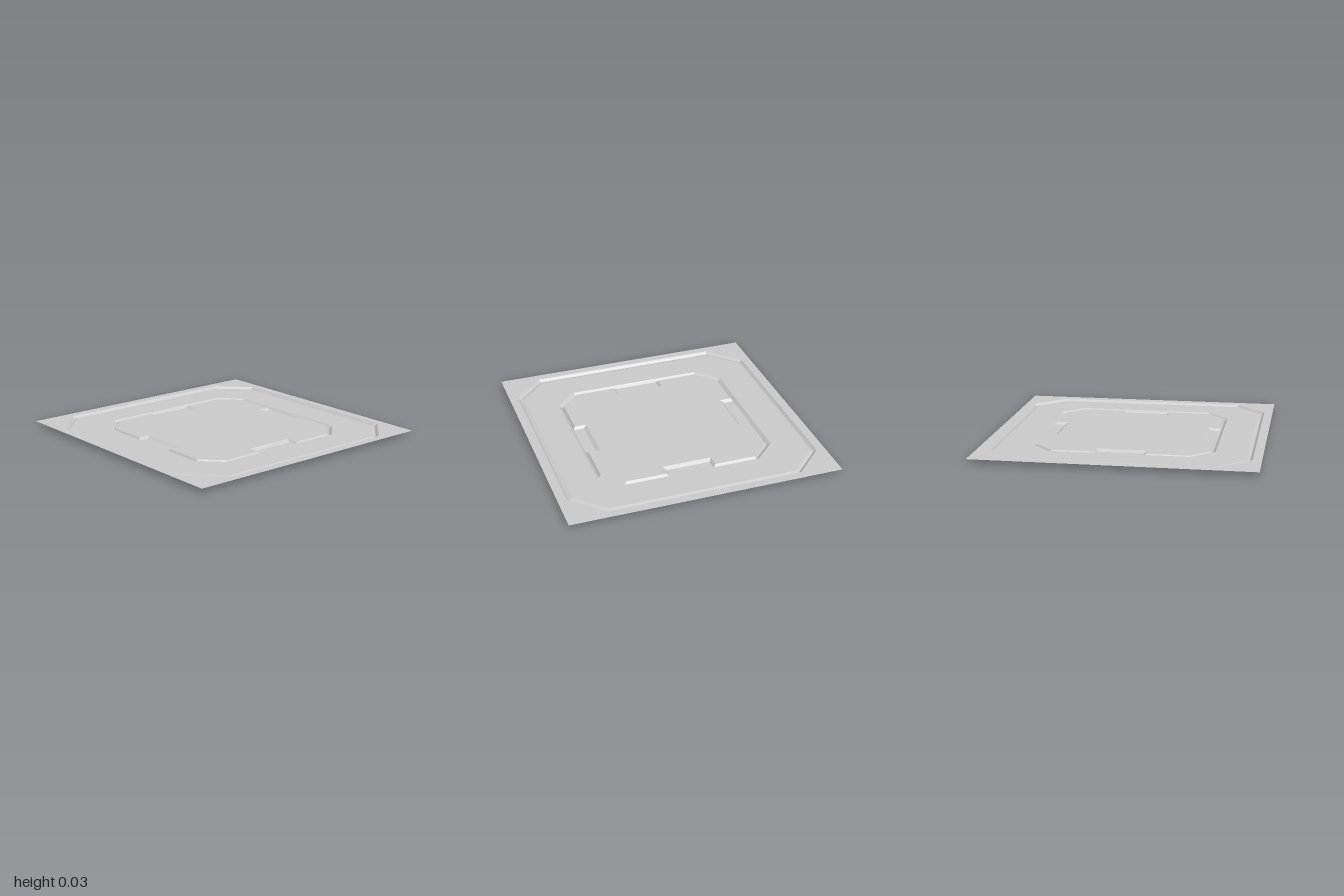
import * as THREE from 'three';

const material = new THREE.MeshStandardMaterial({ color: 0xcccccc, flatShading: true, side: THREE.DoubleSide });

// Repeats the outline of one side around all four sides, counter-clockwise.
function fourSides(side) {
  const points = [];
  let turned = side;
  for (let i = 0; i < 4; i++) {
    points.push(...turned);
    turned = turned.map(([x, s]) => [-s, x]);
  }
  return points;
}

const octagon = (r, c) => fourSides([[r, -c], [r, c]]);

// Octagon with a rectangular notch cut into each long side.
const notched = (r, c, half, depth) =>
  fourSides([[r, -c], [r, -half], [depth, -half], [depth, half], [r, half], [r, c]]);

export function createModel() {
  const group = new THREE.Group();

  function add(name, geometry) {
    const mesh = new THREE.Mesh(geometry, material);
    mesh.name = name;
    group.add(mesh);
  }

  // Level face with an optional opening.
  function face(name, outline, y, opening) {
    const vectors = (list) => list.map(([x, s]) => new THREE.Vector2(x, s));
    const shape = new THREE.Shape(vectors(outline));
    if (opening) shape.holes.push(new THREE.Path(vectors(opening)));
    add(name, new THREE.ShapeGeometry(shape).rotateX(-Math.PI / 2).translate(0, y, 0));
  }

  // Sloping band between two matching outlines.
  function band(name, outer, yOuter, inner, yInner) {
    const positions = [];
    outer.forEach((a, i) => {
      const j = (i + 1) % outer.length;
      const p = [a[0], yOuter, -a[1]];
      const q = [outer[j][0], yOuter, -outer[j][1]];
      const r = [inner[j][0], yInner, -inner[j][1]];
      const s = [inner[i][0], yInner, -inner[i][1]];
      positions.push(...p, ...q, ...r, ...p, ...r, ...s);
    });
    const geometry = new THREE.BufferGeometry();
    geometry.setAttribute('position', new THREE.Float32BufferAttribute(positions, 3));
    geometry.computeVertexNormals();
    add(name, geometry);
  }

  const topY = 0.029, grooveY = 0.011, middleY = 0.019, plateY = 0.018;

  // Square rim around the outer groove
  const rimEdge = octagon(0.935, 0.71);
  face('rim', fourSides([[1, -1], [1, 1]]), topY, rimEdge);

  // Outer groove: steep outside, shallow inside
  const outerFoot = octagon(0.915, 0.702);
  const middleEdge = octagon(0.89, 0.692);
  band('outerGrooveWall', rimEdge, topY, outerFoot, grooveY);
  band('outerGrooveRamp', outerFoot, grooveY, middleEdge, middleY);

  // Broad middle surface
  const middleInner = octagon(0.663, 0.505);
  face('middleSurface', middleEdge, middleY, middleInner);

  // Inner groove, with a wider floor at the four notches
  const foot = 0.64, footCorner = 0.494, notchHalf = 0.165, notchDepth = 0.562;
  band('innerGrooveWall', middleInner, middleY, octagon(foot, footCorner), 0);
  const plateEdge = notched(0.626, 0.488, 0.184, 0.537);
  band('plateWall', notched(foot, footCorner, notchHalf, notchDepth), 0, plateEdge, plateY);
  for (let i = 0; i < 4; i++) {
    const floor = new THREE.PlaneGeometry(foot - notchDepth, 2 * notchHalf);
    floor.rotateX(-Math.PI / 2).translate((foot + notchDepth) / 2, 0, 0).rotateY(i * Math.PI / 2);
    add('notchFloor', floor);
  }

  // Central plate
  face('centralPlate', plateEdge, plateY);

  return group;
}
